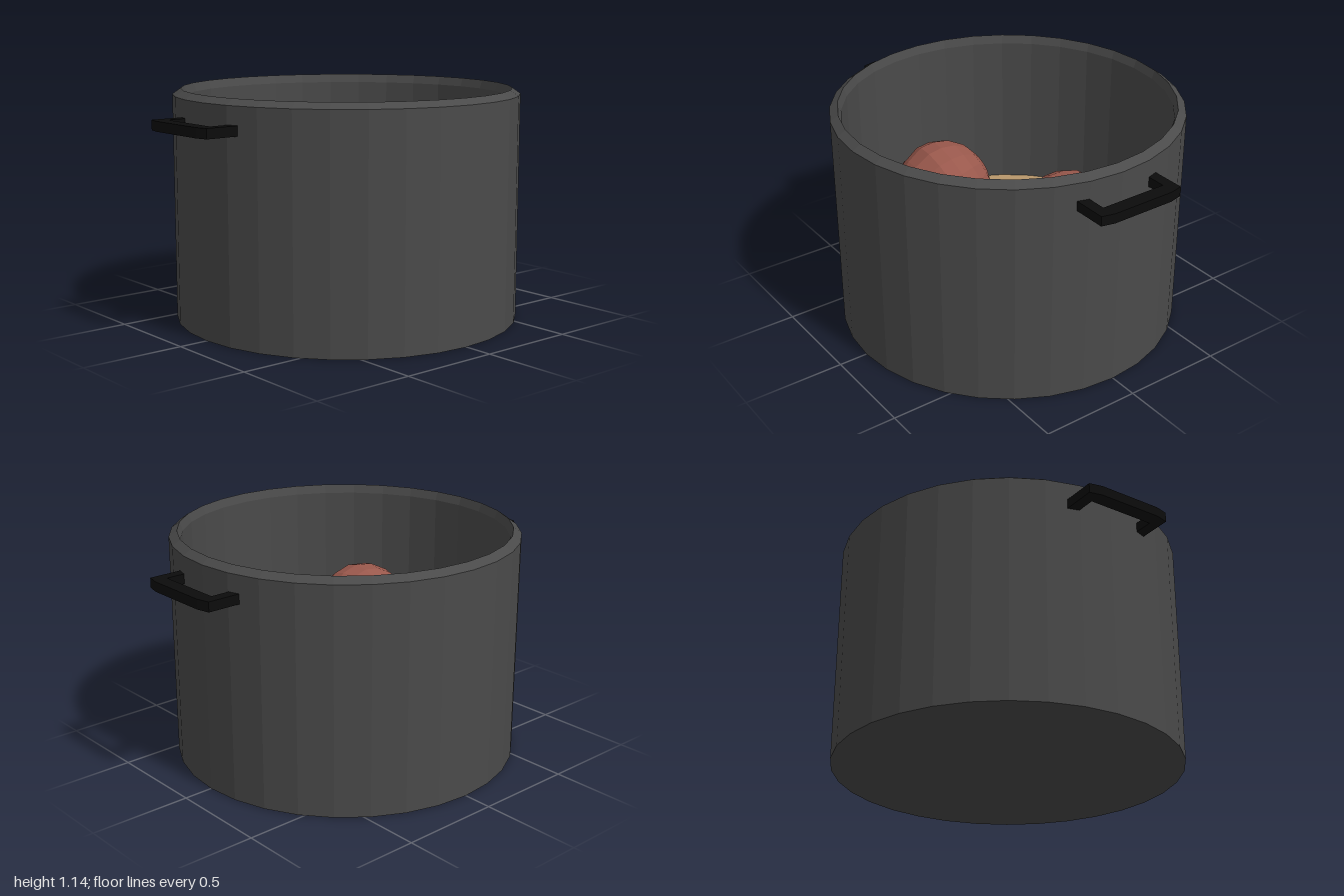
import * as THREE from 'three';

const mat = (color, side = THREE.FrontSide) =>
  new THREE.MeshStandardMaterial({ color, side, flatShading: true });
const pts = (list) => list.map(([x, y]) => new THREE.Vector2(x, y));

function named(name, geometry, material) {
  const mesh = new THREE.Mesh(geometry, material);
  mesh.name = name;
  return mesh;
}

// U-shaped handle lying flat, reaching out along +x
function handleGeometry() {
  const outline = pts([[0.82, -0.225], [0.985, -0.225], [1, -0.16], [1, 0.16], [0.985, 0.225],
    [0.82, 0.225], [0.82, 0.17], [0.93, 0.17], [0.93, -0.17], [0.82, -0.17]]);
  const g = new THREE.ExtrudeGeometry(new THREE.Shape(outline), { depth: 0.048, bevelEnabled: false });
  return g.rotateX(-Math.PI / 2).translate(0, 0.98, 0);
}

// Plump chunk with a tapered, wrinkled end that points along tipDir
function chunk(name, position, tipDir, material, skin) {
  const group = new THREE.Group();
  group.name = name;
  const body = [[0, -0.32], [0.055, -0.32], [0.075, -0.29], [0.125, -0.26], [0.185, -0.17],
    [0.225, -0.08], [0.25, 0.01], [0.24, 0.08], [0.205, 0.15], [0.14, 0.21], [0.07, 0.238], [0, 0.245]];
  group.add(named('chunkBody', new THREE.LatheGeometry(pts(body), 16), material));
  // loose folds of skin gathered around the tapered end
  const fold = [[0.07, -0.325], [0.1, -0.295], [0.142, -0.26], [0.198, -0.17], [0.228, -0.08]];
  for (let i = 0; i < 4; i++) {
    const g = new THREE.LatheGeometry(pts(fold), 3, i * 1.57 + 0.3, 0.7);
    group.add(named('skinFold', g, skin));
  }
  group.position.set(...position);
  group.quaternion.setFromUnitVectors(new THREE.Vector3(0, -1, 0), new THREE.Vector3(...tipDir).normalize());
  return group;
}

export function createModel() {
  const model = new THREE.Group();
  model.name = 'cookingPot';

  // pot wall with chamfered rim, inner wall and floor
  const profile = [[0, 0], [0.855, 0], [0.855, 1.115], [0.815, 1.143], [0.8, 1.1], [0.8, 0.05], [0, 0.05]];
  model.add(named('pot', new THREE.LatheGeometry(pts(profile), 32), mat(0x4a4a4a)));

  // broth surface
  const broth = new THREE.CircleGeometry(0.8, 32).rotateX(-Math.PI / 2).translate(0, 0.3, 0);
  model.add(named('broth', broth, mat(0xb8976b)));

  // side handles
  const black = mat(0x0c0c0c);
  for (const [name, turn] of [['leftHandle', 0], ['rightHandle', Math.PI]]) {
    const handle = named(name, handleGeometry(), black);
    handle.rotation.y = turn;
    model.add(handle);
  }

  // chunks in the broth
  const red = mat(0x99584c), skin = mat(0x8f5045, THREE.DoubleSide);
  model.add(chunk('frontChunk', [-0.29, 0.58, 0.2], [-0.03, -0.12, 0.3], red, skin));
  model.add(chunk('backChunk', [0.265, 0.53, -0.19], [0.1, -0.1, -0.3], red, skin));

  return model;
}
